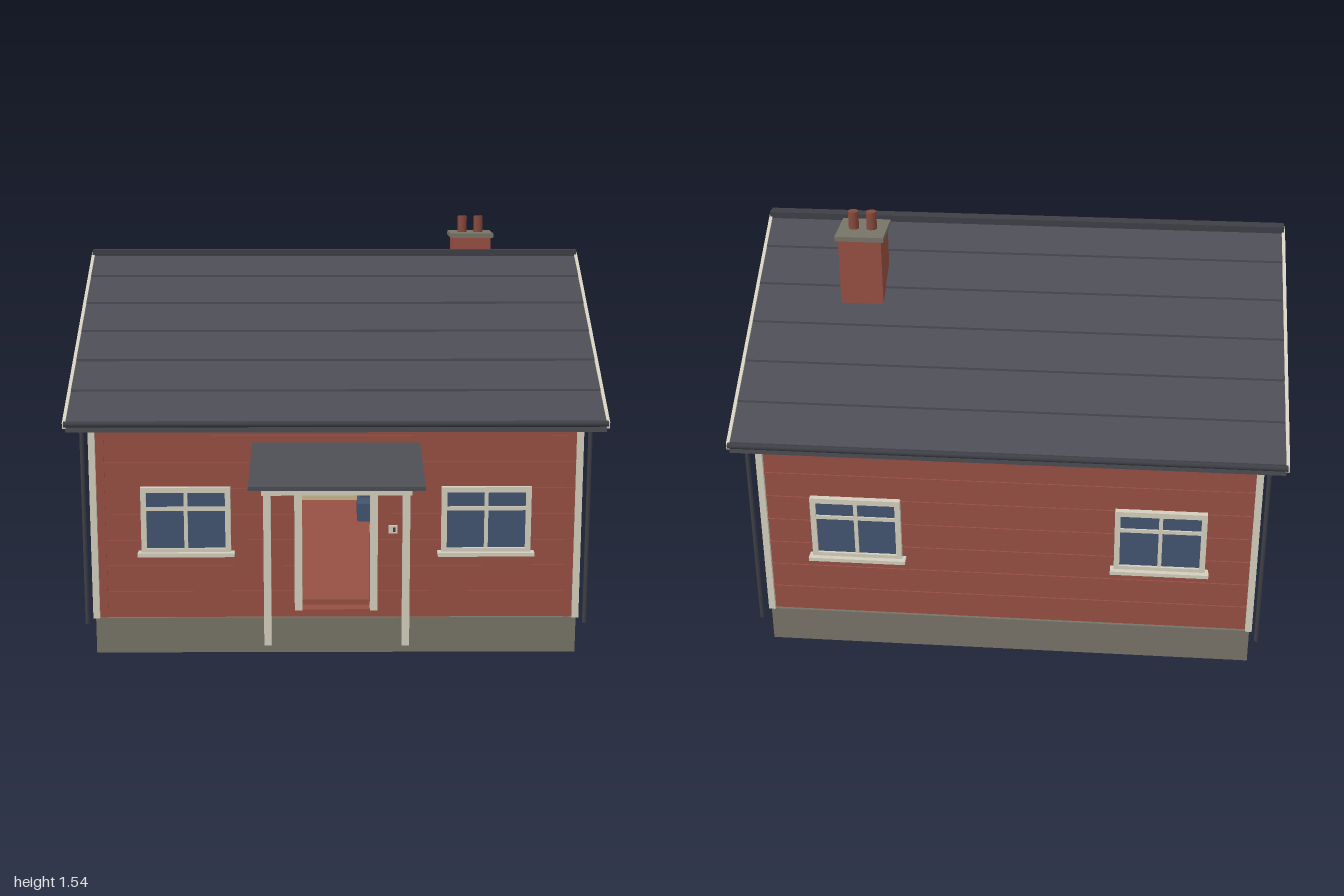
import * as THREE from 'three';

const colours = {
  wallRed: 0x964f42, trimCream: 0xd3cebc, stoneGrey: 0x777367, roofSlate: 0x4c4c54,
  gutterDark: 0x3e3f46, glassBlue: 0x42546f, plasterBeige: 0xc8b88e, potRed: 0x87493c,
};
const ZC = -0.12;                 // ridge line
const RIDGE = 1.415, SLOPE = 0.607, RUN = 0.865;
const ANGLE = Math.atan(SLOPE);
const roofY = d => RIDGE - SLOPE * d;   // roof top at distance d from the ridge

export function createModel() {
  const house = new THREE.Group();
  house.name = 'house';
  const m = {};
  for (const [name, color] of Object.entries(colours)) {
    m[name] = new THREE.MeshStandardMaterial({ color });
    m[name].name = name;
  }

  const add = (parent, name, geometry, mat) => {
    const mesh = new THREE.Mesh(geometry, mat);
    mesh.name = name;
    parent.add(mesh);
    return mesh;
  };
  // box given by its limits on each axis
  const box = (parent, name, mat, x0, x1, y0, y1, z0, z1) => {
    const mesh = add(parent, name, new THREE.BoxGeometry(x1 - x0, y1 - y0, z1 - z0), mat);
    mesh.position.set((x0 + x1) / 2, (y0 + y1) / 2, (z0 + z1) / 2);
    return mesh;
  };
  const cylinder = (parent, name, mat, r, h, x, y, z, sides = 16) => {
    const mesh = add(parent, name, new THREE.CylinderGeometry(r, r, h, sides), mat);
    mesh.position.set(x, y, z);
    return mesh;
  };
  // cross-section in (z, y), extruded along x
  const section = (parent, name, mat, points, x0, x1) => {
    const shape = new THREE.Shape(points.map(([z, y]) => new THREE.Vector2(-z, y)));
    const geometry = new THREE.ExtrudeGeometry(shape, { depth: x1 - x0, bevelEnabled: false });
    geometry.rotateY(Math.PI / 2);
    geometry.translate(x0, 0, 0);
    return add(parent, name, geometry, mat);
  };

  // Foundation and floor
  box(house, 'foundation', m.stoneGrey, -0.89, 0.89, 0, 0.135, -0.9, 0.655);
  box(house, 'floor', m.wallRed, -0.85, 0.85, 0.135, 0.19, -0.86, 0.61);

  // Front wall with door opening, back wall, gable walls
  const front = new THREE.Shape();
  front.moveTo(-0.88, 0.135).lineTo(0.88, 0.135).lineTo(0.88, 0.92).lineTo(-0.88, 0.92).closePath();
  const opening = new THREE.Path();
  opening.moveTo(-0.125, 0.165).lineTo(-0.125, 0.625).lineTo(0.125, 0.625).lineTo(0.125, 0.165).closePath();
  front.holes.push(opening);
  add(house, 'frontWall', new THREE.ExtrudeGeometry(front, { depth: 0.04, bevelEnabled: false }), m.wallRed)
    .position.z = 0.605;
  box(house, 'backWall', m.wallRed, -0.88, 0.88, 0.135, 0.92, -0.89, -0.85);
  const gable = [[-0.89, 0.135], [0.648, 0.135], [0.648, 0.918], [ZC, 1.385], [-0.89, 0.918]];
  section(house, 'rightGableWall', m.wallRed, gable, -0.882, -0.845);
  section(house, 'leftGableWall', m.wallRed, gable, 0.845, 0.882);

  // Plaster lining and a chair inside the doorway
  box(house, 'backLining', m.plasterBeige, -0.845, 0.845, 0.19, 0.92, -0.85, -0.842);
  for (const s of [-1, 1]) {
    box(house, 'sideLining', m.plasterBeige, s * 0.84 - 0.004, s * 0.84 + 0.004, 0.19, 0.92, -0.84, 0.6);
  }
  const chair = new THREE.Group();
  chair.name = 'chair';
  house.add(chair);
  box(chair, 'chairSeat', m.glassBlue, 0.1, 0.24, 0.22, 0.3, -0.5, -0.36);
  box(chair, 'chairBack', m.glassBlue, 0.115, 0.24, 0.3, 0.38, -0.5, -0.47);

  // Narrow weatherboard laps
  for (let i = 1; i <= 7; i++) {
    const y = 0.135 + i * 0.098, h = 0.003;
    const spans = y < 0.65 ? [[-0.88, -0.15], [0.15, 0.88]] : [[-0.88, 0.88]];
    for (const [a, b] of spans) box(house, 'boardLap', m.wallRed, a, b, y - h, y + h, 0.64, 0.65);
    box(house, 'boardLap', m.wallRed, -0.88, 0.88, y - h, y + h, -0.895, -0.885);
    for (const s of [-1, 1]) {
      box(house, 'boardLap', m.wallRed, s * 0.882 - 0.005, s * 0.882 + 0.005, y - h, y + h, -0.89, 0.645);
    }
  }

  // Corner boards and downpipes
  for (const s of [-1, 1]) {
    for (const [z, pipeZ] of [[0.65, 0.715], [-0.893, -0.955]]) {
      box(house, 'cornerBoard', m.trimCream, s * 0.887 - 0.012, s * 0.887 + 0.012, 0.135, 0.9, z - 0.012, z + 0.012);
      cylinder(house, 'downpipe', m.gutterDark, 0.008, 0.75, s * 0.912, 0.51, pipeZ, 10);
    }
  }

  // Window, built facing +z around x = 0
  const makeWindow = (w, y0, y1, transom) => {
    const g = new THREE.Group();
    g.name = 'window';
    const a = w / 2, t = 0.02;
    box(g, 'glass', m.glassBlue, -a + t, a - t, y0 + t, y1 - t, 0, 0.008);
    for (const s of [-1, 1]) {
      const c = s * (a - t / 2);
      box(g, 'frameSide', m.trimCream, c - t / 2, c + t / 2, y0, y1, -0.005, 0.018);
    }
    box(g, 'frameTop', m.trimCream, -a + t, a - t, y1 - t, y1, -0.005, 0.018);
    box(g, 'frameBottom', m.trimCream, -a + t, a - t, y0, y0 + t, -0.005, 0.018);
    box(g, 'mullion', m.trimCream, -0.007, 0.007, y0 + t, y1 - t, 0, 0.014);
    if (transom) box(g, 'transom', m.trimCream, -a + t, a - t, 0.547, 0.561, 0, 0.014);
    box(g, 'sill', m.trimCream, -a - 0.013, a + 0.013, y0 - 0.008, y0 + 0.006, -0.005, 0.036);
    house.add(g);
    return g;
  };
  for (const s of [-1, 1]) {
    makeWindow(0.328, 0.385, 0.635, true).position.set(s * 0.55, 0, 0.648);
    const back = makeWindow(0.328, 0.385, 0.635, true);
    back.position.set(s * 0.55, 0, -0.893);
    back.rotation.y = Math.PI;
    const side = makeWindow(0.245, 0.392, 0.63, false);
    side.position.set(s * 0.885, 0, -0.478);
    side.rotation.y = s * Math.PI / 2;
    // Gable vent
    box(house, 'gableVent', m.roofSlate, s * 0.885 - 0.008, s * 0.885 + 0.008, 1.06, 1.13, -0.175, -0.07);
  }

  // Door surround and bell
  for (const s of [-1, 1]) {
    box(house, 'doorJamb', m.trimCream, s * 0.139 - 0.014, s * 0.139 + 0.014, 0.165, 0.625, 0.6, 0.665);
  }
  box(house, 'doorLintel', m.trimCream, -0.158, 0.158, 0.625, 0.652, 0.6, 0.668);
  box(house, 'doorThreshold', m.wallRed, -0.125, 0.125, 0.15, 0.17, 0.605, 0.665);
  box(house, 'bellPlate', m.trimCream, 0.193, 0.225, 0.458, 0.488, 0.645, 0.657);
  box(house, 'bellButton', m.gutterDark, 0.209, 0.217, 0.464, 0.482, 0.655, 0.66);

  // Porch canopy on two posts
  section(house, 'canopyRoof', m.roofSlate,
    [[0.645, 0.782], [1.0, 0.708], [1.0, 0.722], [0.645, 0.798]], -0.305, 0.305);
  for (const s of [-1, 1]) {
    box(house, 'porchPost', m.trimCream, s * 0.242 - 0.013, s * 0.242 + 0.013, 0.135, 0.7, 0.93, 0.956);
  }
  box(house, 'porchBeam', m.trimCream, -0.262, 0.262, 0.68, 0.703, 0.93, 0.956);

  // Roof slopes, course edges, bargeboards and gutters
  for (const s of [-1, 1]) {
    const strip = (d0, d1, low, high) => {
      const pts = [[ZC + s * d0, roofY(d0) + low], [ZC + s * d1, roofY(d1) + low],
        [ZC + s * d1, roofY(d1) + high], [ZC + s * d0, roofY(d0) + high]];
      return pts;
    };
    section(house, 'roofSlope', m.roofSlate, strip(0, RUN, -0.032, -0.006), -0.965, 0.965);
    for (let i = 0; i < 6; i++) {
      const d = 0.135 + i * 0.1445;
      // each slate course rises slightly towards its lower edge
      const top = Math.max(0, d - 0.1445);
      section(house, 'slateCourse', m.roofSlate,
        [[ZC + s * top, roofY(top) - 0.008], [ZC + s * d, roofY(d) - 0.008],
          [ZC + s * d, roofY(d) + 0.003], [ZC + s * top, roofY(top) - 0.005]], -0.967, 0.967);
    }
    for (const e of [-1, 1]) {
      section(house, 'bargeboard', m.trimCream, strip(0, RUN, -0.019, 0.004), e * 0.97 - 0.006, e * 0.97 + 0.006);
    }
    const gutter = cylinder(house, 'gutter', m.gutterDark, 0.011, 1.94, 0, 0.888, ZC + s * 0.866, 12);
    gutter.rotation.z = Math.PI / 2;
  }
  box(house, 'ridgeCap', m.gutterDark, -0.972, 0.972, 1.4, 1.424, ZC - 0.023, ZC + 0.023);

  // Chimney
  box(house, 'chimneyStack', m.wallRed, 0.492, 0.648, 1.1, 1.456, -0.463, -0.307);
  box(house, 'chimneyCap', m.stoneGrey, 0.481, 0.658, 1.454, 1.472, -0.475, -0.297);
  for (const x of [0.536, 0.602]) cylinder(house, 'chimneyPot', m.potRed, 0.019, 0.07, x, 1.503, -0.386);

  return house;
}
